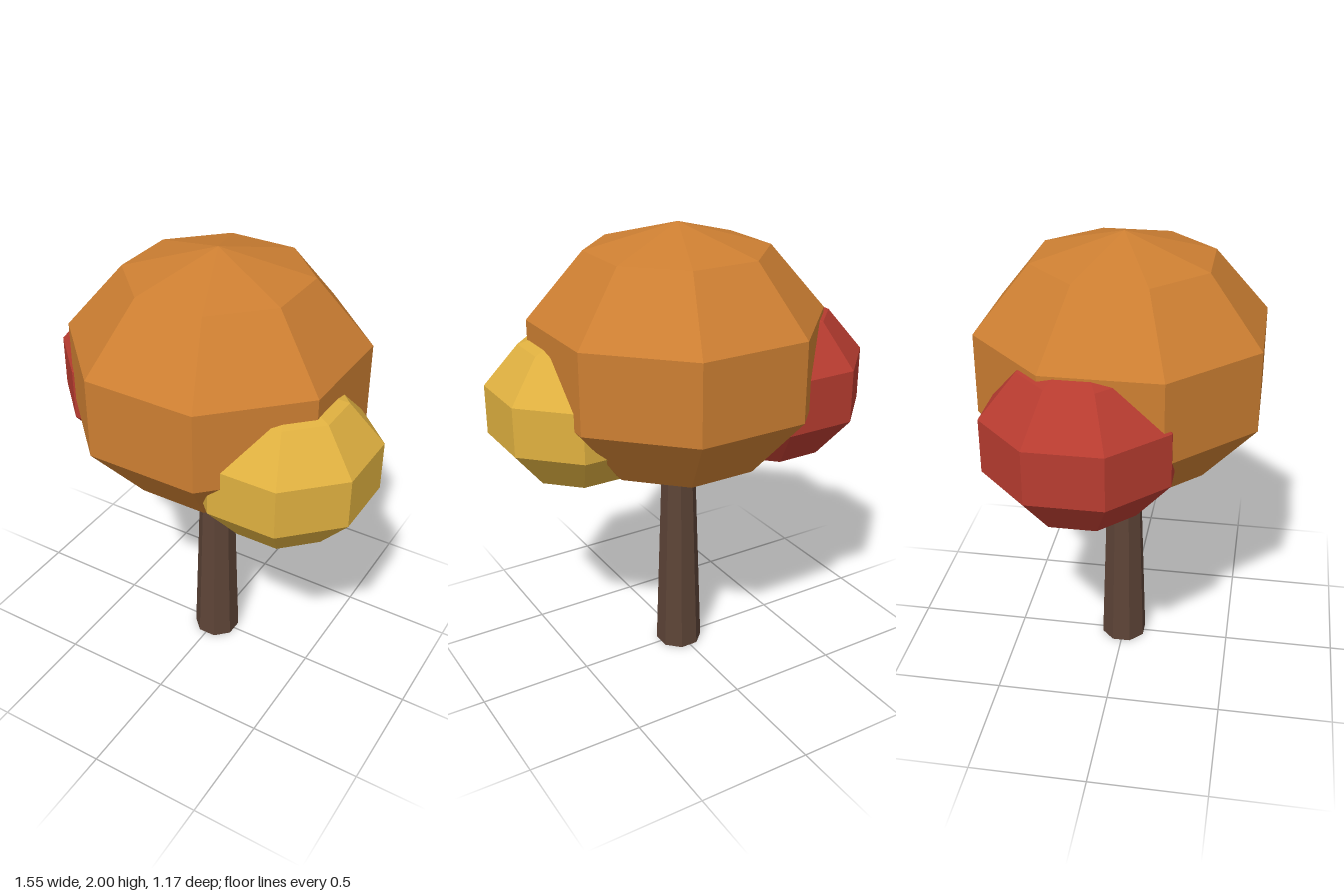
import * as THREE from 'three';

const mat = (name, color) => {
  const m = new THREE.MeshStandardMaterial({ color, flatShading: true });
  m.name = name;
  return m;
};

// Faceted crown of leaves: eight sides, five bands, a flat side facing front
function foliage(name, material, radius, halfHeight, x, y, z) {
  const geo = new THREE.SphereGeometry(radius, 8, 5);
  geo.rotateY(Math.PI / 8);
  geo.scale(1, halfHeight / radius, 1);
  const mesh = new THREE.Mesh(geo, material);
  mesh.name = name;
  mesh.position.set(x, y, z);
  return mesh;
}

export function createModel() {
  const tree = new THREE.Group();
  tree.name = 'autumnTree';

  // Tapered eight-sided trunk, its top hidden in the crown
  const height = 1.0;
  const trunkGeo = new THREE.CylinderGeometry(0.073, 0.106, height, 8);
  trunkGeo.rotateY(Math.PI / 8);
  const trunk = new THREE.Mesh(trunkGeo, mat('bark brown', 0x5d4437));
  trunk.name = 'trunk';
  trunk.position.set(0.005, height / 2, 0);
  tree.add(trunk);

  // Large crown with a smaller clump on each side
  tree.add(
    foliage('mainCrown', mat('leaf orange', 0xcd7f32), 0.665, 0.56, 0.008, 1.44, 0),
    foliage('rightClump', mat('leaf red', 0xb83c30), 0.431, 0.371, -0.4, 1.285, -0.107),
    foliage('leftClump', mat('leaf yellow', 0xdfb040), 0.41, 0.348, 0.415, 1.235, 0.149)
  );
  return tree;
}
